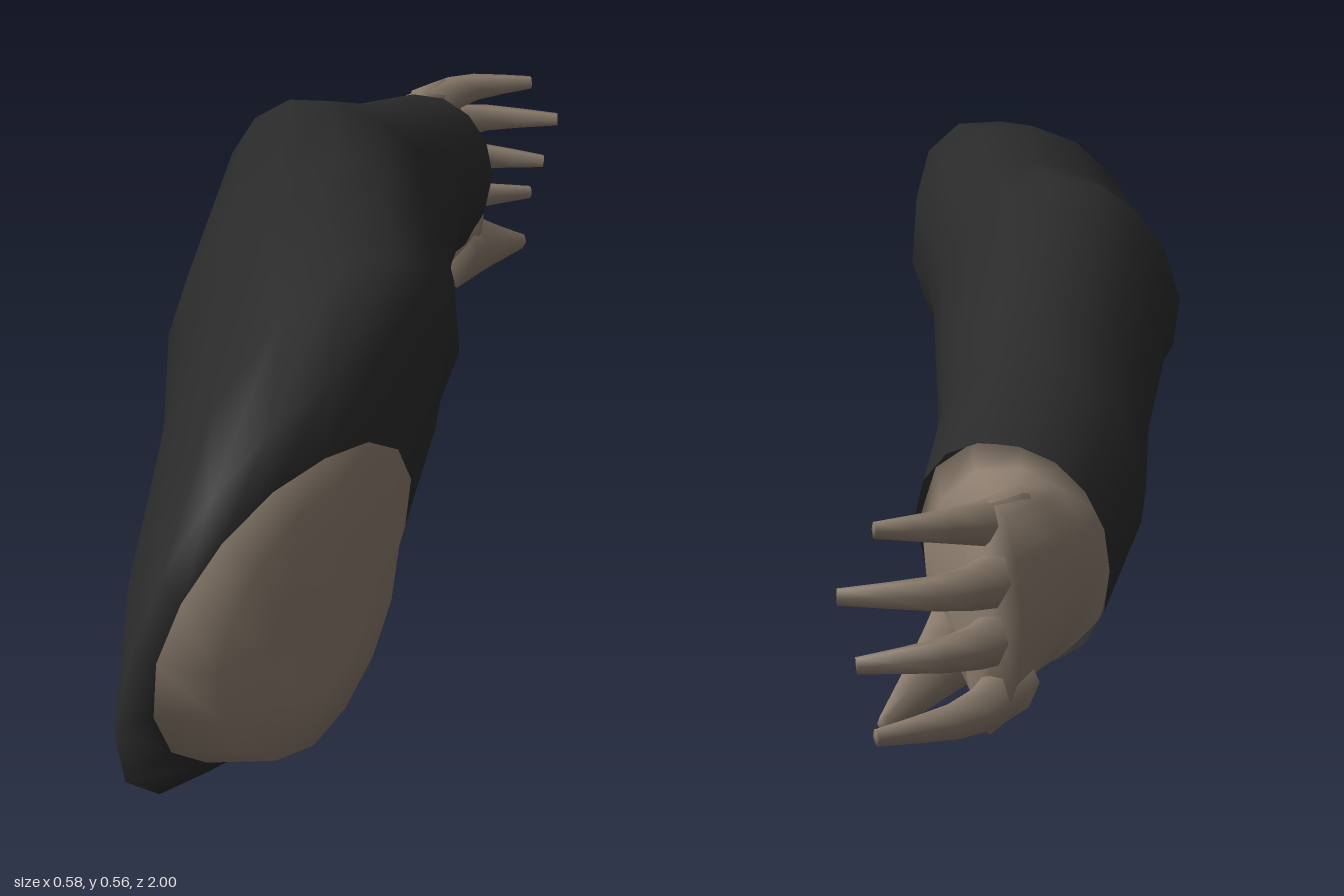
import * as THREE from 'three';

// Skin a list of closed rings (arrays of Vector3), optionally closing the ends.
function loft(rings, capStart, capEnd) {
  const n = rings[0].length, last = (rings.length - 1) * n;
  const pts = rings.flat(), index = [];
  for (let i = 0; i < rings.length - 1; i++) {
    for (let j = 0; j < n; j++) {
      const a = i * n + j, b = i * n + (j + 1) % n;
      index.push(a, a + n, b, b, a + n, b + n);
    }
  }
  const centre = ring => ring.reduce((s, p) => s.add(p), new THREE.Vector3()).divideScalar(n);
  if (capStart) {
    const c = pts.push(centre(rings[0])) - 1;
    for (let j = 0; j < n; j++) index.push(c, j, (j + 1) % n);
  }
  if (capEnd) {
    const c = pts.push(centre(rings[rings.length - 1])) - 1;
    for (let j = 0; j < n; j++) index.push(c, last + (j + 1) % n, last + j);
  }
  const g = new THREE.BufferGeometry().setFromPoints(pts);
  g.setIndex(index);
  g.computeVertexNormals();
  return g;
}

// Oval ring through four points: inner side, top, outer side, bottom.
function ring4([r, t, l, b], sides = 16) {
  const [R, T, L, B] = [r, t, l, b].map(p => new THREE.Vector3(...p));
  const C = R.clone().add(T).add(L).add(B).multiplyScalar(0.25);
  return Array.from({ length: sides }, (_, j) => {
    const a = j / sides * Math.PI * 2, c = Math.cos(a), s = Math.sin(a);
    return C.clone()
      .addScaledVector((c > 0 ? R : L).clone().sub(C), Math.abs(c))
      .addScaledVector((s > 0 ? T : B).clone().sub(C), Math.abs(s));
  });
}

// Tapering digit along a short curve.
function digit(path, r0, r1) {
  const curve = new THREE.CatmullRomCurve3(path.map(p => new THREE.Vector3(...p)));
  const rings = [], steps = 5, sides = 6;
  for (let i = 0; i <= steps; i++) {
    const u = i / steps, p = curve.getPoint(u), d = curve.getTangent(u);
    const h = new THREE.Vector3(-d.z, 0, d.x).normalize();
    const v = new THREE.Vector3().crossVectors(d, h);
    const r = r0 + (r1 - r0) * u;
    rings.push(Array.from({ length: sides }, (_, j) => {
      const a = j / sides * Math.PI * 2;
      return p.clone().addScaledVector(h, Math.cos(a) * r * 0.8).addScaledVector(v, Math.sin(a) * Math.sign(v.y) * r);
    }));
  }
  return loft(rings, true, true);
}

export function createModel() {
  const model = new THREE.Group();
  model.name = 'arm';
  const cloth = new THREE.MeshStandardMaterial({ color: 0x2a2a2a, side: THREE.DoubleSide });
  cloth.name = 'black cloth';
  const skin = new THREE.MeshStandardMaterial({ color: 0x8a7b6c });
  skin.name = 'skin';
  const add = (parent, name, geometry, material) => {
    const mesh = new THREE.Mesh(geometry, material);
    mesh.name = name;
    parent.add(mesh);
  };

  // Sleeve, fanning round from the shoulder opening and running back to the cuff
  const rim = [[.275, .23, .575], [.245, .378, .75], [.14, .21, .985], [.175, .028, .8]];
  const sleeve = [
    rim,
    [[.28, .32, .49], [.235, .455, .71], [.115, .22, 1], [.13, 0, .82]],
    [[.27, .35, .44], [.19, .53, .56], [.045, .23, .85], [.08, .06, .6]],
    [[.255, .36, .34], [.09, .556, .37], [-.035, .3, .57], [.04, .12, .4]],
    [[.19, .36, .2], [.04, .535, .2], [-.13, .33, .34], [0, .19, .18]],
    [[.12, .36, 0], [-.045, .547, .01], [-.2, .39, 0], [-.04, .203, .08]],
    [[.03, .3, -.28], [-.1, .45, -.28], [-.24, .29, -.28], [-.1, .172, -.3]],
    [[-.01, .28, -.42], [-.14, .41, -.42], [-.282, .26, -.46], [-.15, .158, -.4]],
    [[-.045, .25, -.62], [-.18, .348, -.65], [-.287, .21, -.65], [-.17, .082, -.61]],
  ];
  add(model, 'sleeve', loft(sleeve.map(r => ring4(r)), false, false), cloth);

  // Bulging shoulder end filling the sleeve opening
  const shoulder = [
    [[.275, .22, .68], [.265, .28, .77], [.23, .2, .88], [.26, .11, .78]],
    [[.281, .22, .61], [.262, .35, .75], [.205, .2, .97], [.25, .045, .8]],
    rim,
  ];
  add(model, 'shoulderEnd', loft(shoulder.map(r => ring4(r)), true, false), skin);

  // Hand: a wrist filling the cuff, then an upright palm with fingers curling inward
  const hand = new THREE.Group();
  hand.name = 'hand';
  model.add(hand);
  const palm = [
    [[-.047, .25, -.6], [-.178, .345, -.63], [-.284, .21, -.63], [-.17, .087, -.595]],
    [[-.065, .22, -.65], [-.185, .328, -.67], [-.27, .2, -.67], [-.15, .07, -.65]],
    [[-.15, .2, -.74], [-.2, .326, -.74], [-.262, .2, -.75], [-.17, .06, -.75]],
    [[-.175, .2, -.86], [-.19, .325, -.81], [-.242, .2, -.86], [-.205, .07, -.86]],
  ];
  add(hand, 'palm', loft(palm.map(r => ring4(r, 12)), true, true), skin);
  const digits = {
    indexFinger: [[-.215, .115, -.79], [-.195, .105, -.91], [-.115, .098, -.99]],
    middleFinger: [[-.212, .175, -.8], [-.185, .175, -.9], [-.08, .165, -.95]],
    ringFinger: [[-.212, .238, -.8], [-.175, .24, -.89], [-.055, .238, -.94]],
    littleFinger: [[-.205, .288, -.75], [-.17, .302, -.84], [-.085, .305, -.9]],
  };
  for (const [name, path] of Object.entries(digits)) add(hand, name, digit(path, .037, .01), skin);
  add(hand, 'thumb', digit([[-.115, .13, -.62], [-.1, .1, -.73], [-.08, .068, -.85]], .065, .012), skin);

  return model;
}
